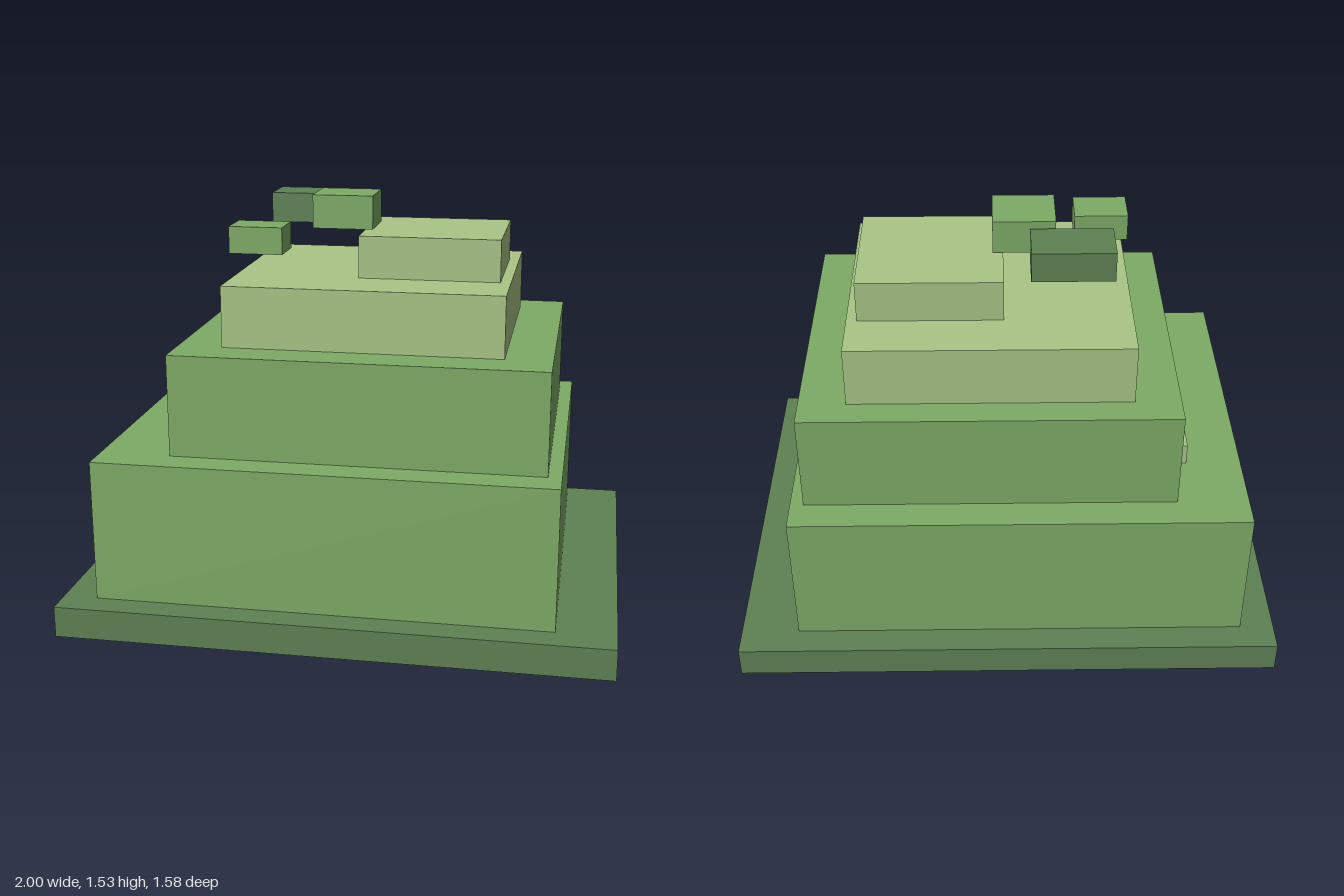
import * as THREE from 'three';

export function createModel() {
  const group = new THREE.Group();
  const mat = (name, color) => {
    const m = new THREE.MeshStandardMaterial({ color });
    m.name = name;
    return m;
  };
  const dark = mat('dark green', 0x5e8254);
  const mid = mat('leaf green', 0x7eab66);
  const light = mat('pale green', 0xa9c587);

  // Box spanning the given [min, max] ranges
  const block = (name, material, [x0, x1], [y0, y1], [z0, z1]) => {
    const mesh = new THREE.Mesh(new THREE.BoxGeometry(x1 - x0, y1 - y0, z1 - z0), material);
    mesh.position.set((x0 + x1) / 2, (y0 + y1) / 2, (z0 + z1) / 2);
    mesh.name = name;
    group.add(mesh);
  };

  // Stepped hill, bottom to top
  block('base', dark, [-1, 1], [0, 0.115], [-0.79, 0.79]);
  block('lowerTier', mid, [-0.875, 0.787], [0.115, 0.638], [-0.688, 0.688]);
  block('middleTier', mid, [-0.615, 0.738], [0.638, 1.012], [-0.572, 0.572]);
  block('upperTier', light, [-0.45, 0.568], [1.012, 1.237], [-0.468, 0.427]);
  block('summit', light, [0.01, 0.53], [1.237, 1.392], [-0.28, 0.197]);

  // Small step against the right side of the middle tier
  block('sideStep', light, [-0.672, -0.58], [0.638, 0.718], [-0.35, -0.258]);

  // Blocks floating above the top
  block('floatingBlockBack', dark, [-0.38, -0.085], [1.39, 1.502], [-0.275, -0.1]);
  block('floatingBlockCentre', mid, [-0.177, 0.048], [1.402, 1.526], [-0.092, 0.108]);
  block('floatingBlockFront', mid, [-0.455, -0.257], [1.328, 1.427], [0.125, 0.275]);

  return group;
}
